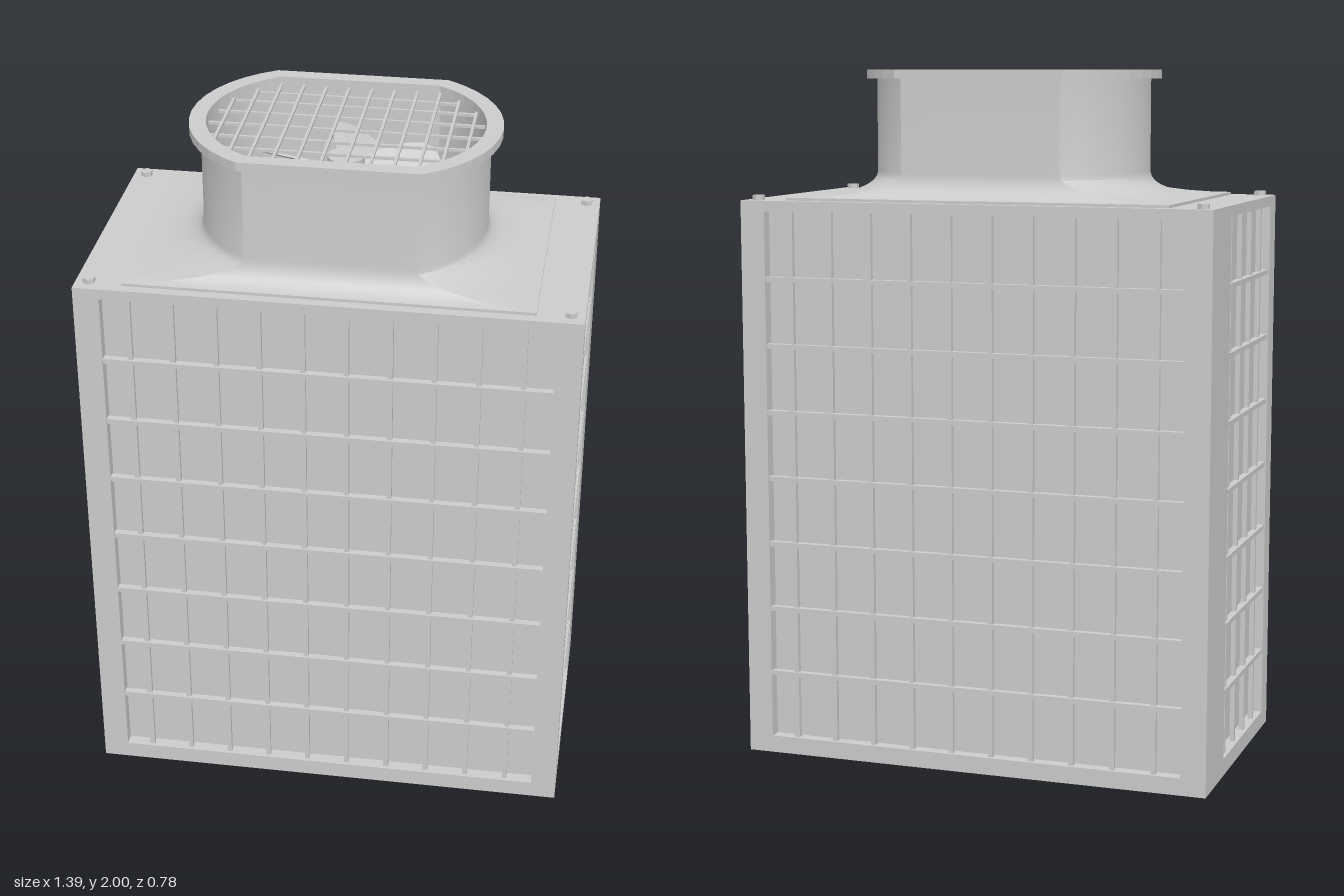
import * as THREE from 'three';
import { toCreasedNormals } from 'three/addons/utils/BufferGeometryUtils.js';

const W = 1.39, H = 1.63, D = 0.78, RECESS = 0.035;
const grey = new THREE.MeshStandardMaterial({ color: 0xcccccc });
const greyDouble = new THREE.MeshStandardMaterial({ color: 0xcccccc, side: THREE.DoubleSide });

function add(parent, name, geometry, x = 0, y = 0, z = 0, material = grey) {
  const mesh = new THREE.Mesh(geometry, material);
  mesh.name = name;
  mesh.position.set(x, y, z);
  parent.add(mesh);
  return mesh;
}

const range = (n, start, step) => Array.from({ length: n }, (_, i) => start + i * step);
const rectPoints = (x0, x1, y0, y1) =>
  [[x0, y0], [x1, y0], [x1, y1], [x0, y1]].map(p => new THREE.Vector2(...p));

// Frame with a recessed bar grille; local z points out of the cabinet
function grillePanel(name, width, x0, x1, uprights) {
  const panel = new THREE.Group();
  panel.name = name;
  const y0 = 0.05, y1 = 1.6;
  const shape = new THREE.Shape(rectPoints(-width / 2, width / 2, 0, H));
  shape.holes.push(new THREE.Path(rectPoints(x0, x1, y0, y1)));
  add(panel, 'frame', new THREE.ExtrudeGeometry(shape, { depth: RECESS, bevelEnabled: false }));
  for (const x of uprights)
    add(panel, 'uprightBar', new THREE.BoxGeometry(0.014, y1 - y0, 0.014), x, (y0 + y1) / 2, 0.018);
  for (const y of range(7, 0.241, 0.194))
    add(panel, 'crossBar', new THREE.BoxGeometry(x1 - x0, 0.014, 0.02), (x0 + x1) / 2, y, 0.022);
  return panel;
}

const ARC = 14, FLAT = 6;

// Round outline with two flat sides: half length a, half depth b, corners at x = c
function ductOutline(a, b, c) {
  const m = (a * a - c * c - b * b) / (2 * (a - c)), r = a - m;
  const end = Math.atan2(b, c - m), pts = [];
  for (const s of [1, -1]) {
    for (let i = 0; i < ARC; i++) {
      const t = -end + 2 * end * i / ARC;
      pts.push(new THREE.Vector2(s * (m + r * Math.cos(t)), s * r * Math.sin(t)));
    }
    for (let i = 0; i < FLAT; i++)
      pts.push(new THREE.Vector2(s * c * (1 - 2 * i / FLAT), s * b));
  }
  return pts;
}

// Rectangle divided to match the duct outline point for point
function rectOutline(a, b) {
  const pts = [];
  for (const s of [1, -1]) {
    for (let i = 0; i < ARC; i++) pts.push(new THREE.Vector2(s * a, s * b * (2 * i / ARC - 1)));
    for (let i = 0; i < FLAT; i++) pts.push(new THREE.Vector2(s * a * (1 - 2 * i / FLAT), s * b));
  }
  return pts;
}

// Skin over rings of { y, pts }, listed from bottom to top
function loft(rings) {
  const n = rings[0].pts.length, pos = [], index = [];
  for (const { y, pts } of rings) for (const p of pts) pos.push(p.x, y, p.y);
  for (let i = 0; i < rings.length - 1; i++)
    for (let j = 0; j < n; j++) {
      const a = i * n + j, b = i * n + (j + 1) % n;
      index.push(a, a + n, b, b, a + n, b + n);
    }
  const g = new THREE.BufferGeometry();
  g.setAttribute('position', new THREE.Float32BufferAttribute(pos, 3));
  g.setIndex(index);
  return toCreasedNormals(g, 0.45);
}

// Half length of the duct opening on a line at v, along x or z
function chord(pts, axis, v) {
  const other = axis === 'x' ? 'y' : 'x';
  let best = 0;
  pts.forEach((p, i) => {
    const q = pts[(i + 1) % pts.length];
    if ((p[other] - v) * (q[other] - v) <= 0 && p[other] !== q[other]) {
      const t = (v - p[other]) / (q[other] - p[other]);
      best = Math.max(best, Math.abs(p[axis] + t * (q[axis] - p[axis])));
    }
  });
  return best;
}

export function createModel() {
  const model = new THREE.Group();
  model.name = 'ventilationUnit';

  // Cabinet core and its four faces
  const coreW = W - 2 * RECESS, coreD = D - 2 * RECESS;
  add(model, 'cabinetCore', new THREE.BoxGeometry(coreW, H, coreD), 0, H / 2, 0);
  const front = grillePanel('frontPanel', W, -0.622, 0.622, range(10, -0.546, 0.1207));
  front.position.z = coreD / 2;
  const back = grillePanel('backPanel', W, -0.622, 0.622, range(10, -0.546, 0.1207));
  back.position.z = -coreD / 2;
  back.rotation.y = Math.PI;
  model.add(front, back);
  for (const s of [1, -1]) {
    const ends = [0.32 * -s, -0.18 * -s].sort((p, q) => p - q);
    const side = grillePanel(s > 0 ? 'leftPanel' : 'rightPanel', coreD, ...ends,
      range(4, -0.12, 0.1207).map(z => -s * z));
    side.position.x = s * coreW / 2;
    side.rotation.y = s * Math.PI / 2;
    model.add(side);
  }

  // Corner bolts on the cabinet top
  for (const x of [-0.657, 0.657])
    for (const z of [-0.347, 0.347])
      add(model, 'bolt', toCreasedNormals(new THREE.CylinderGeometry(0.018, 0.018, 0.014, 6), 0.5), x, H + 0.007, z);

  // Base plate and the hood that sweeps up into the duct
  add(model, 'hoodPlate', new THREE.BoxGeometry(1.13, 0.008, 0.72), 0, H + 0.004, 0);
  const base = rectOutline(0.565, 0.36), neck = ductOutline(0.4, 0.3, 0.235);
  const rings = range(9, 0, 1 / 8).map(t => {
    const k = Math.sin(t * Math.PI / 2);
    return {
      y: 1.638 + 0.072 * (1 - Math.cos(t * Math.PI / 2)),
      pts: base.map((p, i) => p.clone().lerp(neck[i], k)),
    };
  });
  rings.push({ y: 1.98, pts: neck });
  add(model, 'hood', loft(rings), 0, 0, 0, greyDouble);

  // Duct lining and the rim at its mouth
  const mouth = ductOutline(0.385, 0.275, 0.228);
  add(model, 'ductLining', loft([{ y: 1.638, pts: mouth }, { y: 1.98, pts: mouth }]), 0, 0, 0, greyDouble);
  const rim = new THREE.Shape(ductOutline(0.432, 0.32, 0.246));
  rim.holes.push(new THREE.Path(mouth));
  const rimGeo = new THREE.ExtrudeGeometry(rim, { depth: 0.025, bevelEnabled: false });
  rimGeo.rotateX(-Math.PI / 2);
  add(model, 'rim', rimGeo, 0, 1.975, 0);

  // Guard bars cut to the mouth
  const guard = new THREE.Group();
  guard.name = 'fanGuard';
  for (const x of [0.033, 0.098, 0.163, 0.228, 0.287, 0.343])
    for (const s of [1, -1])
      add(guard, 'guardBar', new THREE.BoxGeometry(0.008, 0.008, 2 * chord(mouth, 'y', x)), s * x, 1.975, 0);
  for (const z of [-0.226, -0.16, -0.082, 0, 0.082, 0.16, 0.226])
    add(guard, 'guardBar', new THREE.BoxGeometry(2 * chord(mouth, 'x', z), 0.008, 0.008), 0, 1.967, z);
  model.add(guard);

  // Five pitched blades around a hub
  const fan = new THREE.Group();
  fan.name = 'fan';
  fan.position.y = 1.85;
  add(fan, 'hub', new THREE.CylinderGeometry(0.052, 0.052, 0.09, 24));
  add(fan, 'shaft', new THREE.CylinderGeometry(0.02, 0.02, 0.2, 12), 0, -0.11, 0);
  const blade = new THREE.Shape();
  blade.moveTo(0.035, -0.03);
  blade.bezierCurveTo(0.1, -0.07, 0.15, -0.1, 0.22, -0.08);
  blade.bezierCurveTo(0.28, -0.05, 0.28, 0.05, 0.23, 0.07);
  blade.bezierCurveTo(0.17, 0.085, 0.1, 0.06, 0.035, 0.03);
  const bladeGeo = new THREE.ExtrudeGeometry(blade, { depth: 0.006, bevelEnabled: false, curveSegments: 10 });
  bladeGeo.rotateX(-Math.PI / 2 + 0.5);
  for (let i = 0; i < 5; i++)
    add(fan, 'blade', bladeGeo).rotation.y = Math.PI / 2 + i * Math.PI * 0.4;
  model.add(fan);

  return model;
}
